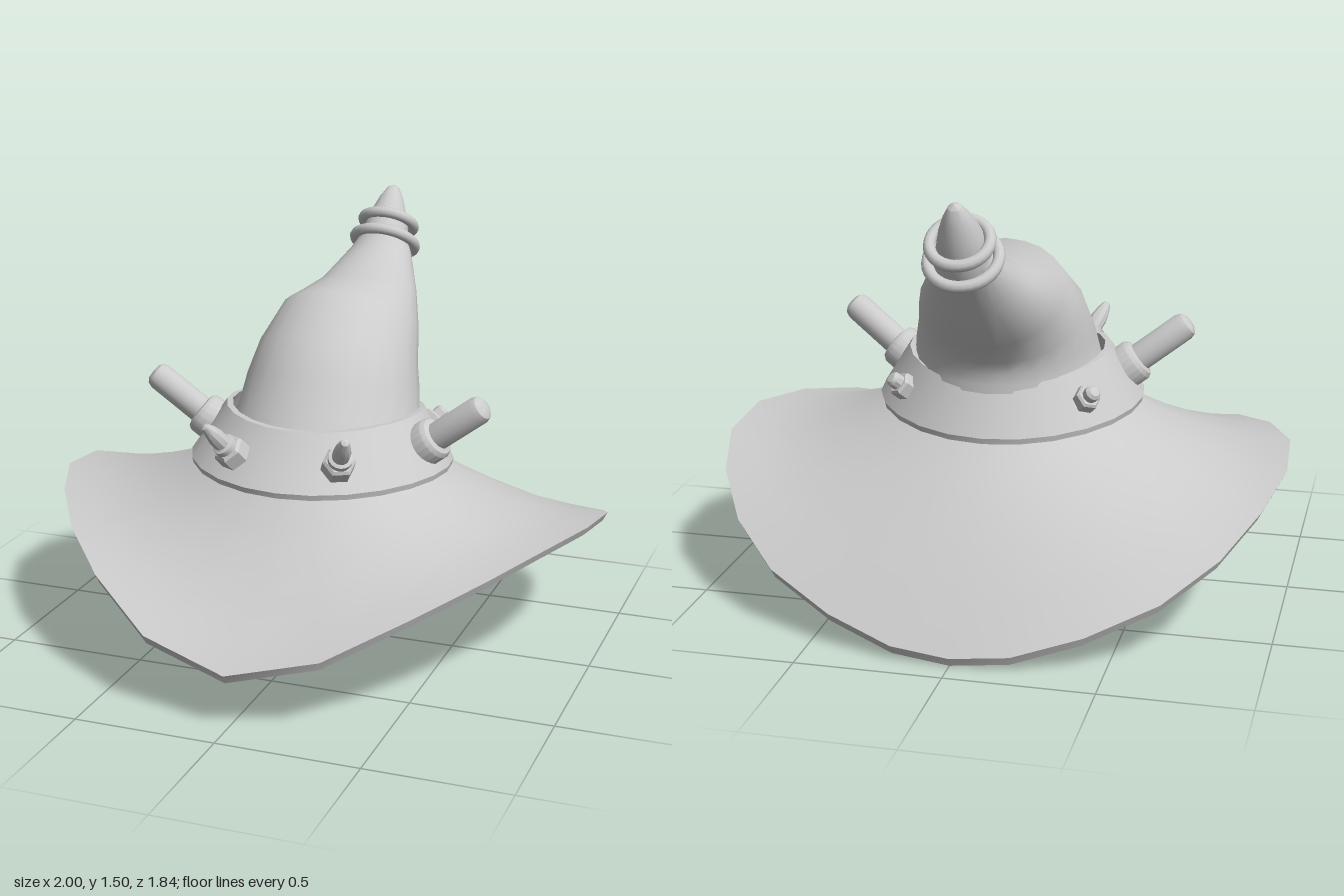
import * as THREE from 'three';
import { toCreasedNormals } from 'three/addons/utils/BufferGeometryUtils.js';

const mat = new THREE.MeshStandardMaterial({ color: 0xcccccc });
const thinMat = new THREE.MeshStandardMaterial({ color: 0xcccccc, side: THREE.DoubleSide });
const N = 24;

function addMesh(parent, name, geometry, material = mat) {
  const mesh = new THREE.Mesh(geometry, material);
  mesh.name = name;
  parent.add(mesh);
  return mesh;
}

// Skin over closed rings of N points each, listed so the path runs upward on the outside
function loft(rings, crease, closed = false) {
  const index = [];
  const last = closed ? rings.length : rings.length - 1;
  for (let i = 0; i < last; i++) {
    const k = (i + 1) % rings.length;
    for (let j = 0; j < N; j++) {
      const m = (j + 1) % N;
      const a = i * N + j, b = i * N + m, c = k * N + m, d = k * N + j;
      index.push(a, b, c, a, c, d);
    }
  }
  const geometry = new THREE.BufferGeometry();
  geometry.setAttribute('position', new THREE.Float32BufferAttribute(rings.flat(2), 3));
  geometry.setIndex(index);
  return toCreasedNormals(geometry, crease);
}

// Tilted ellipse given by its front point, back point, half width and raise at the sides
function ring([zf, yf, zb, yb, w, raise = 0]) {
  return Array.from({ length: N }, (_, j) => {
    const a = (j / N) * Math.PI * 2, s = Math.sin(a), t = (1 + Math.cos(a)) / 2;
    return [w * s, yb + (yf - yb) * t + raise * s * s, zb + (zf - zb) * t];
  });
}

const base = [0.38, 0.66, -0.42, 0.63, 0.4, 0.02];

// Half outline of the brim edge, from front to back: x, y, z
const rimHalf = [
  [0, 0.2, 0.92], [0.31, 0.27, 0.86], [0.56, 0.39, 0.7], [0.75, 0.47, 0.5],
  [0.89, 0.52, 0.28], [0.985, 0.535, 0.05], [1, 0.505, -0.2], [0.94, 0.43, -0.42],
  [0.83, 0.32, -0.6], [0.66, 0.21, -0.75], [0.43, 0.115, -0.85], [0.2, 0.05, -0.91], [0, 0.03, -0.92],
];

function brimGeometry() {
  const inner = ring(base);
  const rim = inner.map((_, j) => {
    const [x, y, z] = rimHalf[j <= 12 ? j : N - j];
    return [j <= 12 ? x : -x, y, z];
  });
  const ringAt = (t, drop, scale) => inner.map((p, j) => {
    const sag = -0.045 + 0.085 * Math.max(0, -Math.cos((j / N) * Math.PI * 2));
    const [x, y, z] = p.map((v, k) => v + (rim[j][k] - v) * t);
    return [x * scale, y + 4 * t * (1 - t) * sag - drop, z * scale];
  });
  const steps = [0, 0.2, 0.4, 0.6, 0.8, 1];
  return loft([
    ...steps.map((t) => ringAt(t, 0.03, 0.985)),
    ...[...steps].reverse().map((t) => ringAt(t, 0, 1)),
  ], 0.7);
}

// Group whose +y axis points along a direction
function mount(parent, name, position, direction) {
  const group = new THREE.Group();
  group.name = name;
  group.position.set(...position);
  group.quaternion.setFromUnitVectors(new THREE.Vector3(0, 1, 0), new THREE.Vector3(...direction).normalize());
  parent.add(group);
  return group;
}

// Turned part from a profile of [radius, height]
function turned(profile, sides) {
  const points = profile.map(([r, y]) => new THREE.Vector2(r, y));
  return toCreasedNormals(new THREE.LatheGeometry(points, sides), 0.6);
}

const canisterCollar = [[0, -0.07], [0.078, -0.07], [0.078, 0.01], [0.068, 0.025], [0.05, 0.03]];
const canister = [[0.05, 0.02], [0.05, 0.215], [0.043, 0.235], [0.028, 0.245], [0, 0.248]];
const hexNut = [[0, -0.03], [0.058, -0.03], [0.058, 0.02], [0.048, 0.03], [0, 0.03]];
const washer = [[0.042, 0.03], [0.042, 0.05], [0.03, 0.055]];
const spike = [[0.03, 0.04], [0.031, 0.09], [0.024, 0.125], [0.014, 0.155], [0, 0.162]];
const smallNut = [[0, -0.04], [0.046, -0.04], [0.046, 0.012], [0.038, 0.02], [0, 0.02]];
const smallCap = [[0.028, 0.015], [0.028, 0.045], [0.018, 0.056], [0, 0.058]];

export function createModel() {
  const hat = new THREE.Group();
  hat.name = 'pointedHat';

  addMesh(hat, 'brim', brimGeometry(), thinMat);

  // Crown bends backward as it rises
  addMesh(hat, 'crown', loft([
    base,
    [0.25, 0.85, -0.40, 0.80, 0.325],
    [0.165, 0.99, -0.405, 0.84, 0.312],
    [0.075, 1.12, -0.42, 0.88, 0.29],
    [-0.1, 1.24, -0.52, 0.96, 0.25],
    [-0.365, 1.24, -0.65, 1.11, 0.18],
    [-0.57, 1.315, -0.73, 1.24, 0.115],
    [-0.61, 1.36, -0.76, 1.27, 0.09],
  ].map(ring), 0.65), thinMat);

  // Sloping band around the crown
  addMesh(hat, 'band', loft([
    [0.42, 0.655, -0.44, 0.61, 0.44, 0.025],
    [0.445, 0.65, -0.46, 0.61, 0.465, 0.025],
    [0.45, 0.67, -0.465, 0.63, 0.47, 0.025],
    [0.305, 0.845, -0.39, 0.80, 0.355, 0.03],
    [0.28, 0.845, -0.37, 0.80, 0.335, 0.03],
  ].map(ring), 0.5, true));

  // Rounded tip and the two rings around it
  const tip = mount(hat, 'tip', [0, 1.29, -0.672], [0, 0.86, -0.51]);
  addMesh(tip, 'tipCone', turned([[0.092, 0], [0.086, 0.06], [0.068, 0.13], [0.045, 0.19], [0.022, 0.232], [0, 0.244]], 16));
  [[1.302, -0.69, 0.115], [1.365, -0.732, 0.097]].forEach(([y, z, r], i) => {
    const holder = mount(hat, i ? 'upperRing' : 'lowerRing', [0, y, z], [0, 0.8, -0.6]);
    addMesh(holder, 'ring', new THREE.TorusGeometry(r, 0.02, 10, 32)).rotation.x = Math.PI / 2;
  });

  // Fittings on both sides of the band
  for (const s of [1, -1]) {
    const side = s > 0 ? 'left' : 'right';

    const can = mount(hat, side + 'Canister', [s * 0.425, 0.785, 0.045], [s * 0.79, 0.61, 0.11]);
    addMesh(can, 'collar', turned(canisterCollar, 20));
    addMesh(can, 'cylinder', turned(canister, 20));

    const bolt = mount(hat, side + 'FrontBolt', [s * 0.195, 0.768, 0.365], [s * 0.055, 0.11, 0.09]);
    addMesh(bolt, 'nut', turned(hexNut, 6));
    addMesh(bolt, 'washer', turned(washer, 16));
    addMesh(bolt, 'spike', turned(spike, 10));

    const rear = mount(hat, side + 'RearBolt', [s * 0.325, 0.745, -0.295], [s * 0.55, 0.6, -0.5]);
    addMesh(rear, 'nut', turned(smallNut, 6));
    addMesh(rear, 'cap', turned(smallCap, 10));
  }
  return hat;
}
